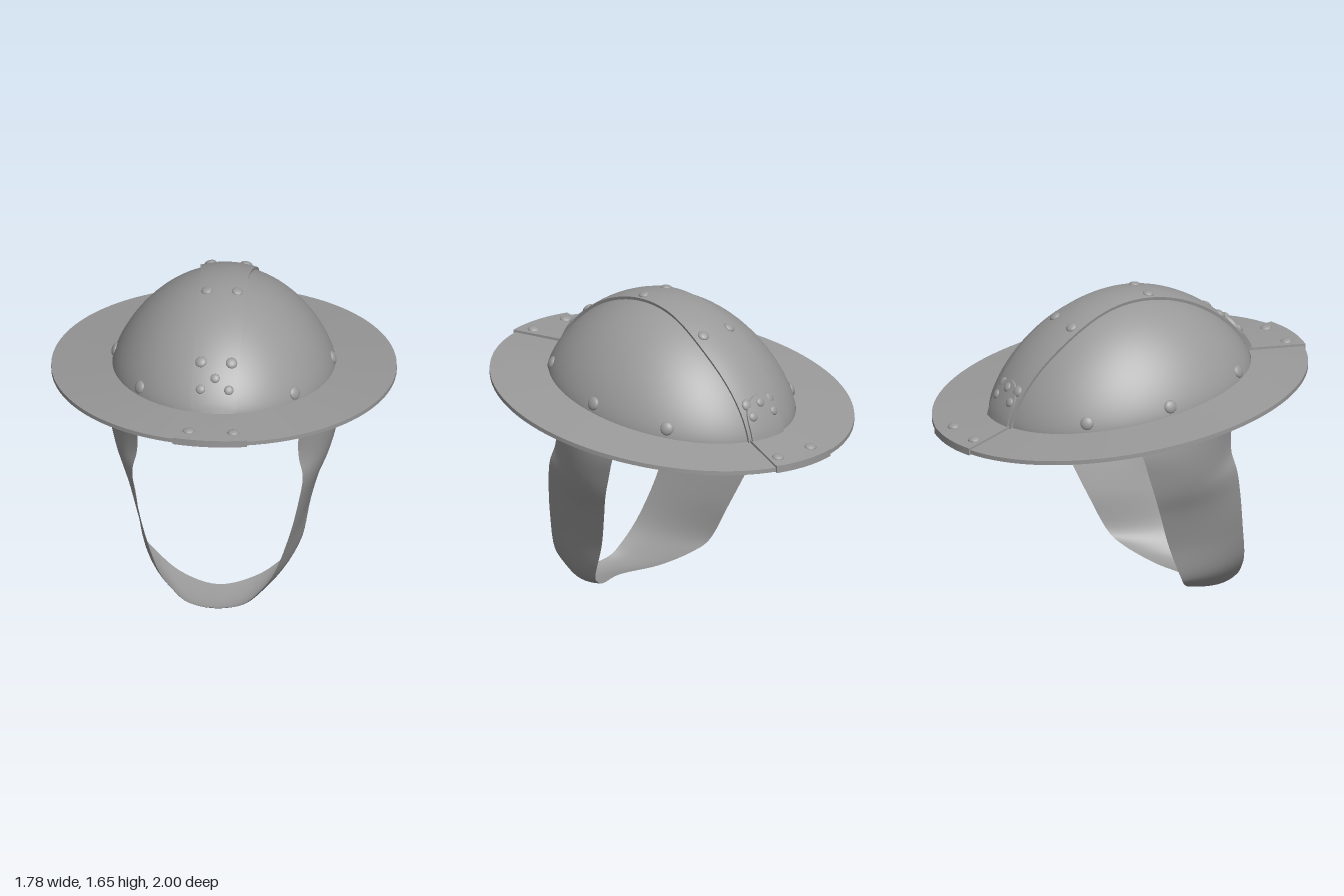
import * as THREE from 'three';
import { toCreasedNormals } from 'three/addons/utils/BufferGeometryUtils.js';

const RX = 0.575, RZ = 0.7, HEIGHT = 0.495;   // dome half width, half length, height
const { lerp } = THREE.MathUtils;

// Point on the tilted dome from x and lengthwise fraction t, raised by o
function domePoint(x, t, o = 0) {
  const s2 = Math.min(1, (x / RX) ** 2 + t * t);
  const h = (1 - s2) ** 0.72;
  const z = (RZ + o) * t - 0.05 * h;
  return new THREE.Vector3(x * (1 + o / RX), 1.14 + 0.143 * z + (HEIGHT + o) * h, z);
}

// Point on the brim: v runs from the dome (0) to the rim (1)
function brimPoint(x, v, side, o) {
  const rx = lerp(RX, 0.89, v), rz = lerp(RZ, 0.99, v);
  const z = side * rz * Math.sqrt(Math.max(0, 1 - (x / rx) ** 2));
  return new THREE.Vector3(x, lerp(1.14 + 0.143 * z, 1.115 + 0.13 * z, v) + o, z);
}

// Move every vertex of a geometry by a rule
function warp(geo, rule) {
  const p = geo.attributes.position;
  for (let i = 0; i < p.count; i++) {
    const q = rule(p.getX(i), p.getY(i), p.getZ(i));
    p.setXYZ(i, q.x, q.y, q.z);
  }
  return toCreasedNormals(geo, 0.7);
}

// Sheet of (nu x nv) cells from a point function
function sheet(nu, nv, fn) {
  const pos = [], idx = [];
  for (let i = 0; i <= nu; i++)
    for (let j = 0; j <= nv; j++) pos.push(...fn(i / nu, j / nv).toArray());
  for (let i = 0; i < nu; i++)
    for (let j = 0; j < nv; j++) {
      const a = i * (nv + 1) + j, b = a + nv + 1;
      idx.push(a, b, a + 1, b, b + 1, a + 1);
    }
  const g = new THREE.BufferGeometry();
  g.setAttribute('position', new THREE.Float32BufferAttribute(pos, 3));
  g.setIndex(idx);
  return toCreasedNormals(g, 0.7);
}

export function createModel() {
  const root = new THREE.Group();
  root.name = 'brimmedHelmet';
  const grey = new THREE.MeshStandardMaterial({ color: 0x999999, side: THREE.DoubleSide });
  grey.name = 'grey';
  const add = (name, geo, parent = root) => {
    const m = new THREE.Mesh(geo, grey);
    m.name = name;
    parent.add(m);
    return m;
  };

  // Dome
  add('dome', sheet(72, 24, (u, v) => {
    const a = u * Math.PI * 2, s = Math.sin(v * Math.PI / 2);
    return domePoint(RX * s * Math.sin(a), s * Math.cos(a));
  }));

  // Brim ring with a thin rectangular section
  const section = [[0, 0.008], [1, 0.008], [1, -0.014], [0, -0.014], [0, 0.008]];
  add('brim', sheet(96, 4, (u, k) => {
    const [v, o] = section[Math.round(k * 4)];
    const a = u * Math.PI * 2;
    const x = lerp(RX, 0.89, v) * Math.sin(a), z = lerp(RZ, 0.99, v) * Math.cos(a);
    return new THREE.Vector3(x, lerp(1.14 + 0.143 * z, 1.115 + 0.13 * z, v) + o, z);
  }));

  // Raised band over the crown, slightly wider behind
  add('crownBand', warp(new THREE.BoxGeometry(2, 1, 2, 12, 1, 64), (u, o, v) => {
    const f = Math.sin(v * Math.PI / 2);
    const x = u * (0.117 + 0.028 * Math.exp(-(((f * RZ + 0.35) / 0.25) ** 2)));
    return domePoint(x, f * Math.sqrt(1 - (x / RX) ** 2), (o + 0.5) * 0.016);
  }));

  // Domed rivets
  const rivets = new THREE.Group();
  rivets.name = 'rivets';
  root.add(rivets);
  const rivet = (point, normal, r) => {
    const m = add('rivet', new THREE.SphereGeometry(r, 16, 6, 0, Math.PI * 2, 0, Math.PI / 2), rivets);
    m.scale.y = 0.5;
    m.position.copy(point);
    m.quaternion.setFromUnitVectors(new THREE.Vector3(0, 1, 0), normal);
  };
  const domeRivet = (x, t, o, r) => {
    const e = 0.004, p = domePoint(x, t, o);
    const dx = domePoint(x + e, t, o).sub(domePoint(x - e, t, o));
    const dz = domePoint(x, t + e, o).sub(domePoint(x, t - e, o));
    rivet(p, dz.cross(dx).normalize(), r);
  };

  // Front and back joining plates, each with a rounded tab up the dome
  for (const side of [1, -1]) {
    const end = side > 0 ? 'front' : 'back';
    add(end + 'BrimPlate', warp(new THREE.BoxGeometry(2, 1, 1, 12, 1, 6), (u, o, w) => {
      const v = lerp(-0.04, 1.03, w + 0.5);
      return brimPoint(side * u * lerp(0.11, 0.19, v), v, side, o > 0 ? 0.02 : -0.018);
    }));
    add(end + 'DomeTab', warp(new THREE.BoxGeometry(2, 1, 1, 20, 1, 10), (u, o, w) => {
      const c = Math.sin(u * Math.PI / 2), x = side * 0.105 * c;
      const low = Math.sqrt(1 - (x / RX) ** 2);
      const top = 0.84 + 0.09 * (1 - Math.sqrt(Math.max(0, 1 - c * c)));
      return domePoint(x, side * lerp(top, low, w + 0.5), o > 0 ? 0.028 : 0.01);
    }));
    domeRivet(0, side * 0.875, 0.027, 0.025);
    for (const m of [1, -1]) {
      domeRivet(m * 0.07, side * 0.916, 0.027, 0.025);
      rivet(brimPoint(m * 0.115, 0.74, side, 0.019), new THREE.Vector3(0, 1, -0.14).normalize(), 0.032);
    }
  }

  // Rivets along the band and around the dome base
  for (const m of [1, -1]) {
    for (const [x, t] of [[0.077, 0.79], [0.077, 0.24], [0.09, -0.4], [0.077, -0.865]])
      domeRivet(m * x, t, 0.015, 0.03);
    for (const [x, t] of [[0.4, 0.69], [0.562, 0.01], [0.445, -0.595]])
      domeRivet(m * x, t, 0, 0.035);
  }

  // Chin strap: cross-sections (front edge, middle, back edge) from brim to chin
  const rows = [
    [0.44, 1.18, 0.45, 0.575, 1.15, 0.12, 0.55, 1.09, -0.22],
    [0.415, 0.93, 0.43, 0.575, 0.93, 0.15, 0.585, 0.95, -0.17],
    [0.42, 0.83, 0.43, 0.56, 0.8, 0.17, 0.575, 0.82, -0.125],
    [0.44, 0.74, 0.45, 0.535, 0.7, 0.19, 0.555, 0.7, -0.08],
    [0.42, 0.6, 0.48, 0.48, 0.57, 0.24, 0.515, 0.58, -0.03],
    [0.37, 0.4, 0.52, 0.42, 0.38, 0.3, 0.455, 0.38, 0.05],
    [0.29, 0.2, 0.57, 0.355, 0.17, 0.37, 0.405, 0.17, 0.15],
    [0.21, 0.1, 0.59, 0.275, 0.08, 0.41, 0.34, 0.115, 0.2],
    [0.14, 0.045, 0.6, 0.17, 0.02, 0.48, 0.2, 0.05, 0.3],
    [0, 0.025, 0.61, 0, 0.002, 0.53, 0, 0.03, 0.38],
  ];
  const mirrored = rows.slice(0, -1).reverse().map(r => r.map((n, i) => (i % 3 ? n : -n)));
  const all = [...rows, ...mirrored];
  const [front, middle, back] = [0, 3, 6].map(k =>
    new THREE.CatmullRomCurve3(all.map(r => new THREE.Vector3(r[k], r[k + 1], r[k + 2]))));
  add('chinStrap', sheet(108, 8, (u, v) => {
    // Parabola through the three edge points
    return front.getPoint(u).multiplyScalar((1 - v) * (1 - 2 * v))
      .addScaledVector(middle.getPoint(u), 4 * v * (1 - v))
      .addScaledVector(back.getPoint(u), v * (2 * v - 1));
  }));

  return root;
}
